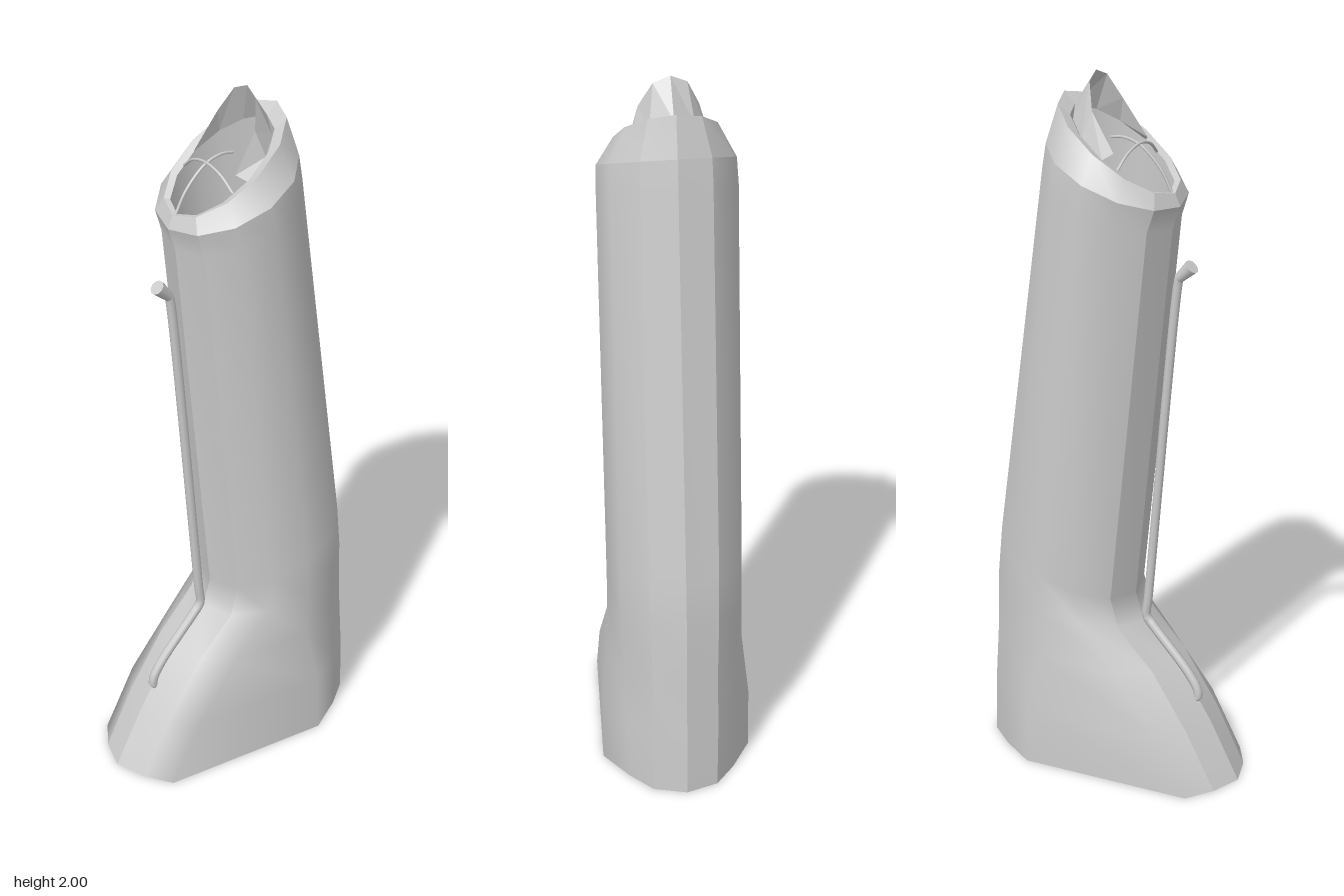
import * as THREE from 'three';
import { mergeGeometries } from 'three/addons/utils/BufferGeometryUtils.js';

const material = new THREE.MeshStandardMaterial({ color: 0xcccccc });
const thin = new THREE.MeshStandardMaterial({ color: 0xcccccc, side: THREE.DoubleSide });
const V = (x, y, z) => new THREE.Vector3(x, y, z);

// Foot outline, from the heel (right end) to the toe: x fraction and depth fraction
const FOOT_X = [1, 0.962, 0.866, 0.732, 0.102, 0.038, 0];
const FOOT_Z = [0, 0.43, 0.71, 1, 0.79, 0.43, 0];

// Twelve-sided tilted ring; foot = 1 gives the long foot outline, 0 an ellipse
function ring(xL, yL, xR, yR, depth, foot = 0) {
  return Array.from({ length: 12 }, (_, i) => {
    const k = i <= 6 ? i : 12 - i;
    const a = (k * Math.PI) / 6;
    const t = THREE.MathUtils.lerp((1 + Math.cos(a)) / 2, FOOT_X[k], foot);
    const s = THREE.MathUtils.lerp(Math.sin(a), FOOT_Z[k], foot);
    return V(xL + (xR - xL) * t, yL + (yR - yL) * t, (i <= 6 ? 1 : -1) * s * depth);
  });
}

// Surface through rows of points; normals stay smooth inside one patch
function patch(rows) {
  const n = rows[0].length;
  const index = [];
  for (let r = 0; r < rows.length - 1; r++) {
    for (let i = 0; i < n - 1; i++) {
      const a = r * n + i, b = a + 1, d = a + n, c = d + 1;
      index.push(a, d, c, a, c, b);
    }
  }
  const g = new THREE.BufferGeometry().setFromPoints(rows.flat());
  g.setIndex(index);
  g.computeVertexNormals();
  return g;
}

// Closed loft, creased at the edges of the narrow end panels
const PANELS = [[0, 1], [1, 2, 3, 4, 5], [5, 6], [6, 7], [7, 8, 9, 10, 11], [11, 0]];
const loft = (rings) => mergeGeometries(
  PANELS.map((p) => patch(rings.map((r) => p.map((i) => r[i])))));

function add(group, name, geometry, mat = material) {
  const mesh = new THREE.Mesh(geometry, mat);
  mesh.name = name;
  group.add(mesh);
  return mesh;
}

// Polyline tube with slightly rounded bends
function rod(points, radius, sides, segments) {
  const curve = new THREE.CatmullRomCurve3(points, false, 'centripetal');
  return new THREE.TubeGeometry(curve, segments, radius, sides);
}

export function createModel() {
  const group = new THREE.Group();
  group.name = 'bentFlue';

  // Outer shell, from the foot up to the slanted shoulder
  const base = ring(-0.395, 0, 0.39, 0, 0.21, 1);
  const shoulder = ring(-0.19, 1.665, 0.19, 1.82, 0.187);
  add(group, 'outerShell', loft([
    base,
    ring(-0.305, 0.165, 0.383, 0.18, 0.21, 0.85),
    ring(-0.2, 0.32, 0.375, 0.36, 0.194, 0.4),
    ring(-0.085, 0.43, 0.367, 0.53, 0.19, 0.08),
    ring(-0.06, 0.51, 0.352, 0.67, 0.19),
    ring(-0.168, 1.6, 0.2, 1.75, 0.19),
    shoulder,
  ]));

  // Rim and bevel
  const rim = ring(-0.175, 1.7, 0.163, 1.93, 0.14);
  const rimInner = ring(-0.16, 1.7, 0.13, 1.9, 0.115);
  add(group, 'rimBevel', loft([shoulder, rim]));
  add(group, 'rimTop', loft([rim, rimInner]));

  // Hollow passage and the lip underneath
  const baseInner = ring(-0.355, 0, 0.36, 0, 0.18, 1);
  add(group, 'innerWall', loft([
    rimInner,
    ring(0.02, 0.5, 0.3, 0.6, 0.14),
    ring(-0.13, 0.28, 0.335, 0.34, 0.16, 0.4),
    baseInner,
  ]));
  add(group, 'baseLip', loft([baseInner, base]));

  // Pointed hood leaning over the opening, mirrored front to back
  const mirrored = (half) => [
    ...half.slice(1).reverse().map(([x, y, z]) => V(x, y, -z)),
    ...half.map(([x, y, z]) => V(x, y, z)),
  ];
  const hood = patch([
    mirrored([[0.13, 1.9, 0], [0.1, 1.875, 0.06], [0.05, 1.84, 0.1], [-0.02, 1.795, 0.115]]),
    mirrored([[0.065, 2, 0], [0.058, 1.98, 0.045], [0.03, 1.91, 0.08], [-0.04, 1.81, 0.09]]),
  ]).toNonIndexed();
  hood.computeVertexNormals();
  add(group, 'hood', hood, thin);

  // Two crossed wires arched over the opening
  add(group, 'longWire', rod(
    [V(-0.165, 1.7, 0), V(-0.13, 1.76, 0), V(-0.07, 1.815, 0), V(-0.02, 1.83, 0), V(0.02, 1.825, 0)],
    0.004, 6, 20));
  add(group, 'crossWire', rod(
    [V(-0.06, 1.77, -0.105), V(-0.065, 1.805, -0.06), V(-0.068, 1.82, 0),
      V(-0.065, 1.805, 0.06), V(-0.06, 1.77, 0.105)],
    0.004, 6, 20));

  // Thin side pipe running up the shaft
  const path = [V(-0.24, 0.215, 0), V(-0.262, 0.225, 0), V(-0.262, 0.25, 0), V(-0.23, 0.3, 0),
    V(-0.115, 0.42, 0), V(-0.095, 0.445, 0), V(-0.1, 0.5, 0), V(-0.184, 1.44, 0),
    V(-0.19, 1.47, 0), V(-0.2, 1.48, 0)];
  add(group, 'sidePipe', rod(path, 0.013, 8, 80));

  // Flared mouth of the pipe
  const mouth = add(group, 'pipeMouth', new THREE.CylinderGeometry(0.021, 0.014, 0.055, 10));
  mouth.position.set(-0.208, 1.487, 0);
  mouth.rotation.z = Math.PI / 4;

  return group;
}
